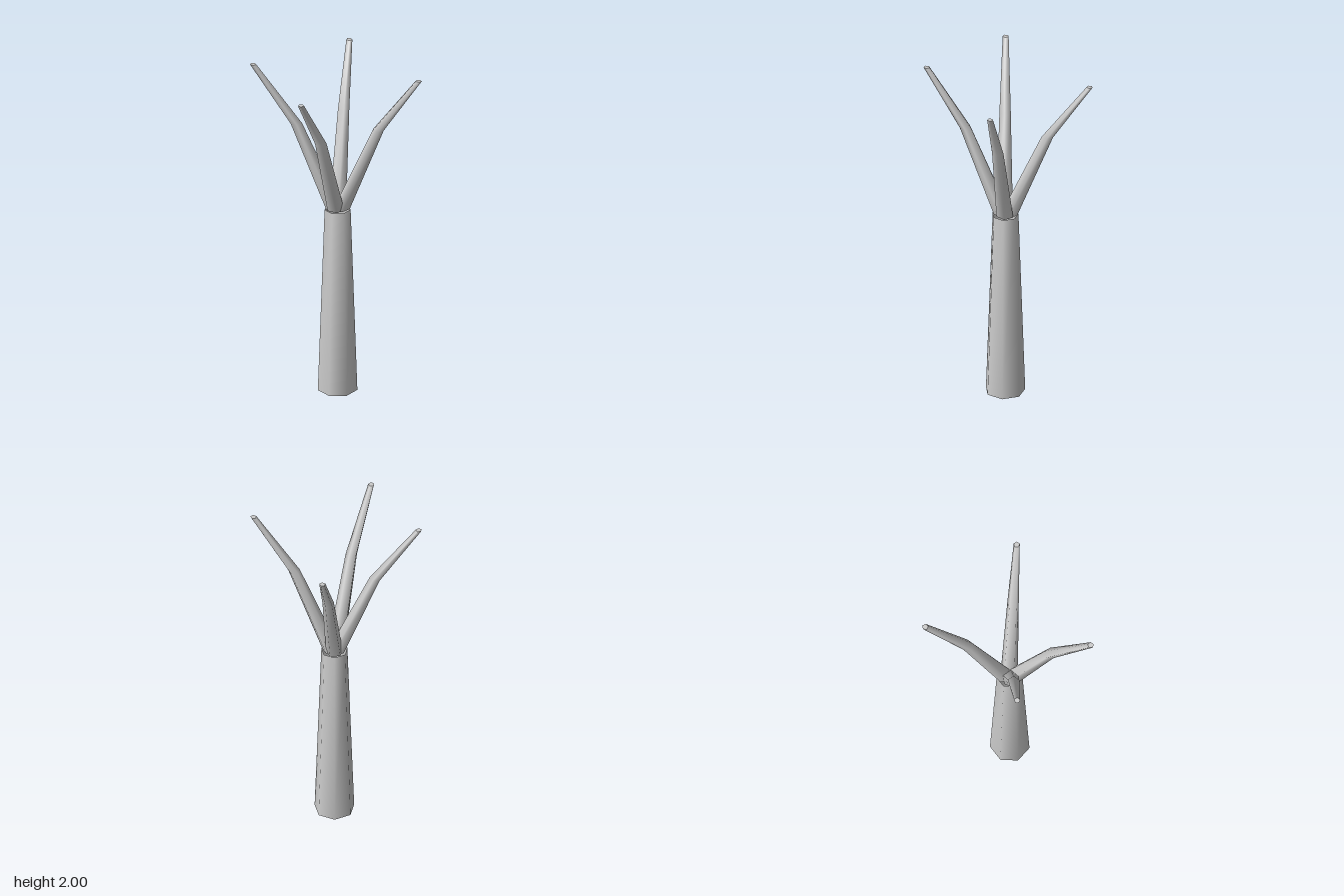
import * as THREE from 'three';

// Smooth tapered limb through horizontal rings [x, y, z, radius]
function limbGeometry(rings, sides, capTop) {
  const pos = [], index = [];
  const addRing = ([x, y, z, r]) => {
    for (let j = 0; j < sides; j++) {
      const a = (j / sides) * Math.PI * 2;
      pos.push(x + r * Math.cos(a), y, z + r * Math.sin(a));
    }
  };
  rings.forEach(addRing);
  for (let i = 0; i < rings.length - 1; i++) {
    for (let j = 0; j < sides; j++) {
      const k = (j + 1) % sides;
      const a = i * sides + j, b = i * sides + k;
      const c = a + sides, d = b + sides;
      index.push(a, c, b, b, c, d);
    }
  }
  if (capTop) {
    // separate vertices keep the cut end's edge sharp
    const start = pos.length / 3;
    addRing(rings[rings.length - 1]);
    for (let j = 1; j < sides - 1; j++) index.push(start, start + j + 1, start + j);
  }
  const geo = new THREE.BufferGeometry();
  geo.setAttribute('position', new THREE.Float32BufferAttribute(pos, 3));
  geo.setIndex(index);
  geo.computeVertexNormals();
  return geo;
}

export function createModel() {
  const group = new THREE.Group();
  group.name = 'bareTree';
  const bark = new THREE.MeshStandardMaterial({ color: 0xcccccc, side: THREE.DoubleSide });
  bark.name = 'bark';

  const add = (name, rings, sides, capTop) => {
    const mesh = new THREE.Mesh(limbGeometry(rings, sides, capTop), bark);
    mesh.name = name;
    group.add(mesh);
  };

  // Hollow seven-sided trunk
  add('trunk', [[-0.001, 0, 0.007, 0.114], [-0.001, 1.12, 0.006, 0.075]], 7, false);

  // Four five-sided branches: base, bend and tip centres
  const branches = {
    leftBranch: [[0.018, 1.12, 0.003], [0.232, 1.635, 0.015], [0.469, 1.97, 0.027]],
    rightBranch: [[-0.018, 1.12, 0.01], [-0.232, 1.645, 0.036], [-0.473, 2.0, 0.066]],
    frontBranch: [[-0.008, 1.12, 0.022], [-0.05, 1.63, 0.235], [-0.114, 1.965, 0.466]],
    backBranch: [[-0.006, 1.12, -0.015], [-0.018, 1.625, -0.232], [-0.034, 1.947, -0.468]],
  };
  const radii = [0.05, 0.034, 0.018];
  for (const [name, points] of Object.entries(branches)) {
    add(name, points.map((p, i) => [...p, radii[i]]), 5, true);
  }
  return group;
}
